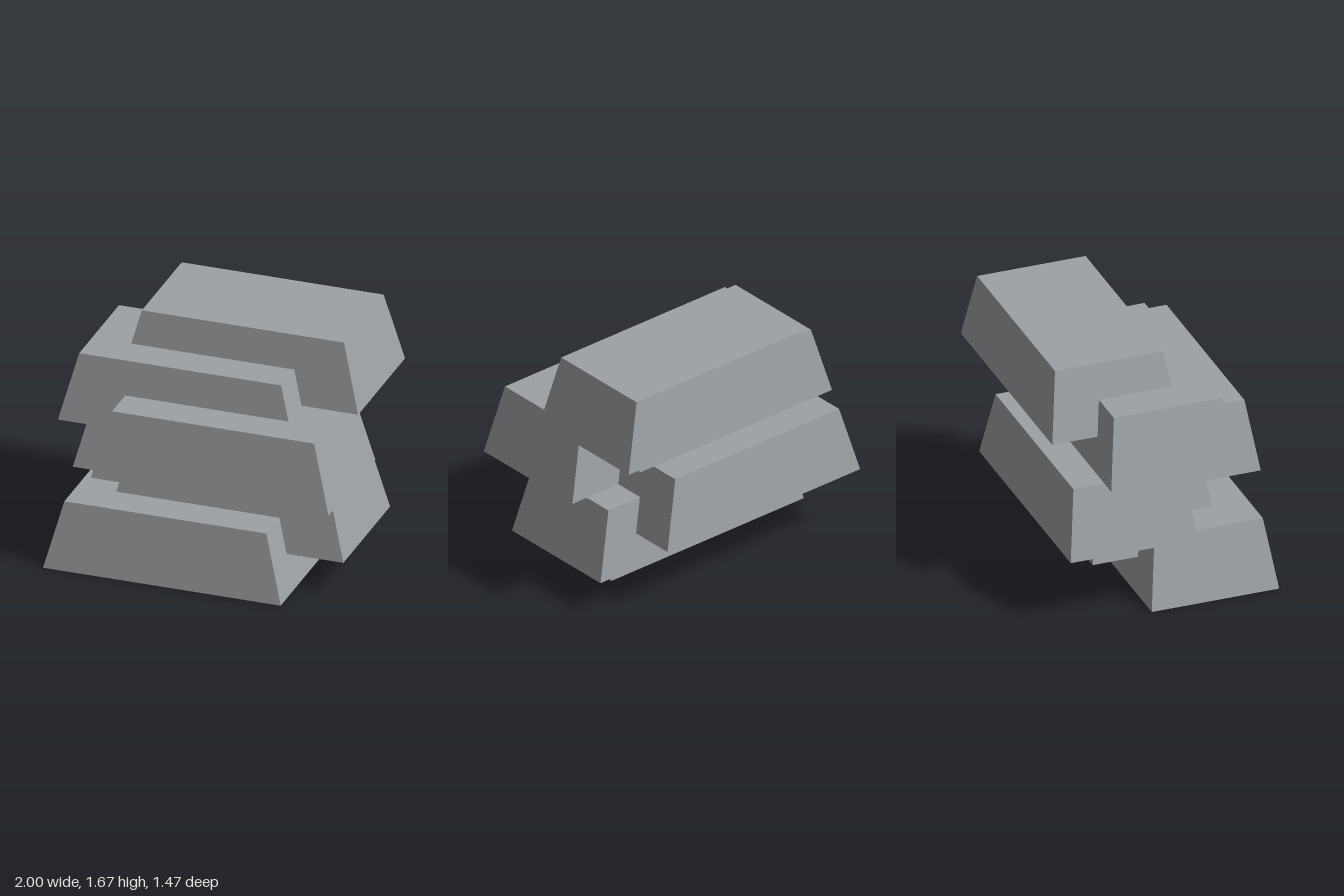
import * as THREE from 'three';

const WIDTH = 1.665, HEIGHT = 0.477, DEPTH = 0.9;
const INSET_X = 0.125, INSET_Z = 0.067;

// Box whose top face is drawn in on all four sides, standing on y = 0
function taperedBlock() {
  const g = new THREE.BoxGeometry(WIDTH, HEIGHT, DEPTH).translate(0, HEIGHT / 2, 0);
  const p = g.attributes.position;
  for (let i = 0; i < p.count; i++) {
    if (p.getY(i) < HEIGHT / 2) continue;
    p.setX(i, p.getX(i) - Math.sign(p.getX(i)) * INSET_X);
    p.setZ(i, p.getZ(i) - Math.sign(p.getZ(i)) * INSET_Z);
  }
  g.computeVertexNormals(); // corners are separate per face, so edges stay sharp
  return g;
}

export function createModel() {
  const group = new THREE.Group();
  group.name = 'blockStack';
  const stone = new THREE.MeshStandardMaterial({ color: 0x9da1a3 });
  stone.name = 'stone grey';
  const geometry = taperedBlock();

  // Each block rises half a height, alternates right and left, and steps front to back
  for (let i = 0; i < 6; i++) {
    const block = new THREE.Mesh(geometry, stone);
    block.name = `block${i + 1}`;
    block.position.set(
      i % 2 ? 1 - WIDTH / 2 : WIDTH / 2 - 1,
      i * HEIGHT / 2,
      (1 - i % 3) * 0.286
    );
    group.add(block);
  }
  return group;
}
